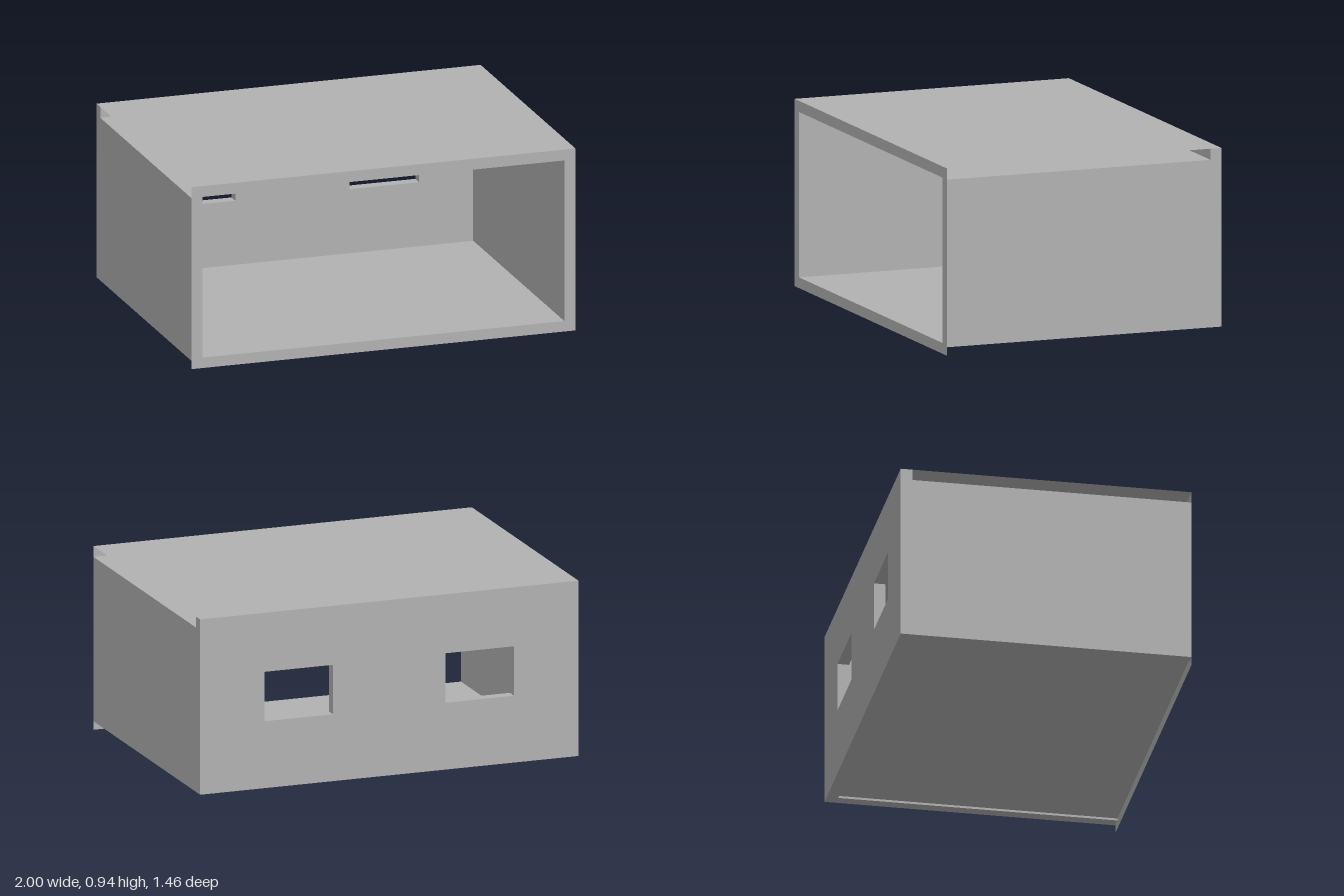
import * as THREE from 'three';

const W = 1, D = 0.73, T = 0.058;          // half width, half depth, wall thickness
const BASE = 0.043, FLOOR = 0.054, CEIL = 0.884, TOP = 0.94;

function rect(path, x0, y0, x1, y1) {
  path.moveTo(x0, y0);
  path.lineTo(x1, y0);
  path.lineTo(x1, y1);
  path.lineTo(x0, y1);
  path.closePath();
  return path;
}

export function createModel() {
  const group = new THREE.Group();
  const grey = new THREE.MeshStandardMaterial({ color: 0xb2b2b2, side: THREE.DoubleSide });
  grey.name = 'plain grey';

  const add = (name, geometry, x = 0, y = 0, z = 0) => {
    const mesh = new THREE.Mesh(geometry, grey);
    mesh.name = name;
    mesh.position.set(x, y, z);
    group.add(mesh);
  };
  const sheet = (name, halfWidth, y, z0, z1, turn) => {
    const g = new THREE.PlaneGeometry(halfWidth * 2, z1 - z0).rotateX(turn);
    add(name, g, 0, y, (z0 + z1) / 2);
  };

  // Back wall with two window openings
  const wall = rect(new THREE.Shape(), -W, BASE, W, TOP);
  wall.holes.push(rect(new THREE.Path(), -0.66, 0.385, -0.297, 0.638));
  wall.holes.push(rect(new THREE.Path(), 0.297, 0.385, 0.66, 0.638));
  add('backWall', new THREE.ExtrudeGeometry(wall, { depth: T, bevelEnabled: false }), 0, 0, -D);

  // Side walls stop below the roof, leaving a narrow open slot
  const sideDepth = 2 * D - T;
  for (const [name, s] of [['leftWall', 1], ['rightWall', -1]]) {
    add(name, new THREE.BoxGeometry(T, CEIL - BASE, sideDepth),
      s * (W - T / 2), (CEIL + BASE) / 2, T / 2);
  }

  // Thin front frame around the open side
  const frame = rect(new THREE.Shape(), -W, 0, W, TOP);
  frame.holes.push(rect(new THREE.Path(), -W + T, FLOOR, W - T, CEIL));
  add('frontFrame', new THREE.ShapeGeometry(frame), 0, 0, D);

  // Roof, ceiling and floor sheets
  sheet('roof', W, TOP, -D + T, D, -Math.PI / 2);
  sheet('ceiling', W - T, CEIL, -D + T, D, Math.PI / 2);
  sheet('floor', W - T, FLOOR, -D + T, D, -Math.PI / 2);

  return group;
}
